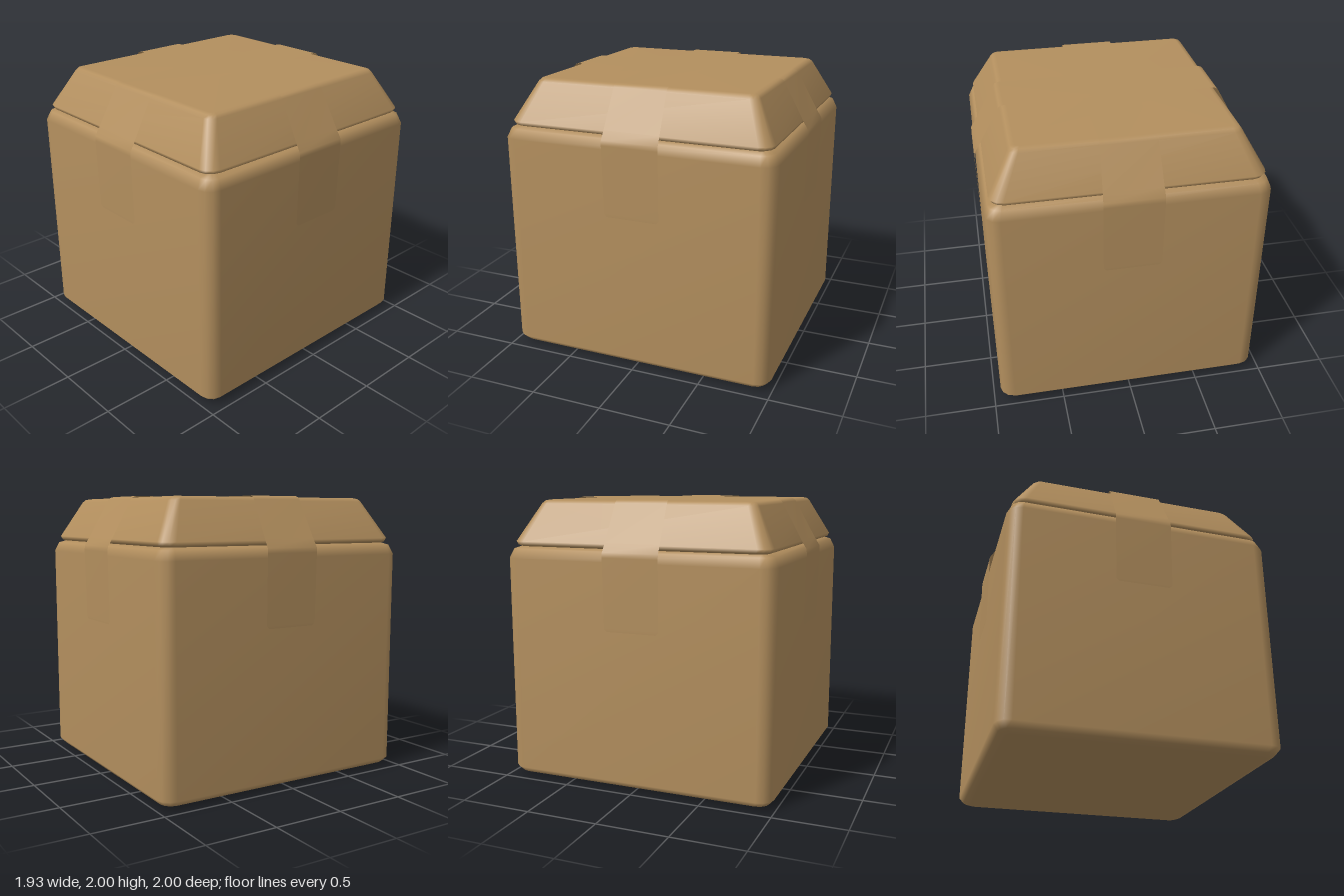
import * as THREE from 'three';

const cardboard = new THREE.MeshStandardMaterial({ color: 0xb38f5e });
cardboard.name = 'cardboard';
const tapeMaterial = new THREE.MeshStandardMaterial({ color: 0xb38f5e, side: THREE.DoubleSide });
tapeMaterial.name = 'tape';

function geometryFrom(positions, index) {
  const g = new THREE.BufferGeometry();
  g.setAttribute('position', new THREE.Float32BufferAttribute(positions, 3));
  g.setIndex(index);
  g.computeVertexNormals();
  return g;
}

// Stacks rounded rectangles; each level is [y, halfX, halfZ, cornerRadius].
function loft(levels) {
  const steps = 3, n = 4 * (steps + 1), positions = [], index = [];
  for (const [y, hx, hz, r] of levels) {
    for (let q = 0; q < 4; q++) {
      const sx = q === 0 || q === 3 ? 1 : -1, sz = q < 2 ? 1 : -1;
      for (let s = 0; s <= steps; s++) {
        const a = (q + s / steps) * Math.PI / 2;
        positions.push(sx * (hx - r) + r * Math.cos(a), y, sz * (hz - r) + r * Math.sin(a));
      }
    }
  }
  const last = levels.length - 1;
  const bottom = positions.length / 3, top = bottom + 1;
  positions.push(0, levels[0][0], 0, 0, levels[last][0], 0);
  for (let j = 0; j < n; j++) {
    const k = (j + 1) % n;
    for (let i = 0; i < last; i++) {
      const a = i * n + j, b = i * n + k, c = b + n, d = a + n;
      index.push(a, d, b, b, d, c);
    }
    index.push(bottom, j, k, top, last * n + k, last * n + j);
  }
  return geometryFrom(positions, index);
}

// Folded tape running along x; half profile points are [x, y, halfWidth].
function tape(half) {
  const path = [...half.map(([x, y, w]) => [-x, y, w]), ...half.slice().reverse()];
  const positions = [], index = [];
  path.forEach(([x, y, w], i) => {
    positions.push(x, y, w, x, y, -w);
    if (i) {
      const a = 2 * i - 2;
      index.push(a, a + 2, a + 1, a + 1, a + 2, a + 3);
    }
  });
  return geometryFrom(positions, index);
}

export function createModel() {
  const group = new THREE.Group();
  const add = (name, geometry, material) => {
    const mesh = new THREE.Mesh(geometry, material);
    mesh.name = name;
    group.add(mesh);
    return mesh;
  };

  // Box with softened edges
  add('boxBody', loft([
    [0, 0.86, 0.89, 0.04],
    [0.02, 0.915, 0.945, 0.08],
    [0.06, 0.95, 0.98, 0.1],
    [1.59, 0.95, 0.98, 0.1],
    [1.655, 0.92, 0.95, 0.08],
    [1.675, 0.86, 0.89, 0.04],
  ]), cardboard);

  // Sloped lid
  add('lid', loft([
    [1.67, 0.87, 0.9, 0.06],
    [1.68, 0.9, 0.93, 0.09],
    [1.705, 0.91, 0.94, 0.09],
    [1.965, 0.762, 0.8, 0.06],
    [1.985, 0.745, 0.78, 0.05],
    [1.992, 0.715, 0.75, 0.03],
  ]), cardboard);

  // Two crossing tapes folded down the four sides
  const profile = (d) => [
    [0.956 + d, 1.12, 0.18],
    [0.957 + d, 1.14, 0.2],
    [0.965 + d, 1.62, 0.203],
    [0.962 + d, 1.655, 0.203],
    [0.925 + d, 1.715, 0.2],
    [0.78 + d, 1.975, 0.19],
    [0.765 + d, 1.992, 0.19],
    [0.735 + d, 2, 0.19],
  ];
  add('sideTape', tape(profile(0)), tapeMaterial);
  add('frontBackTape', tape(profile(0.035)), tapeMaterial).rotation.y = Math.PI / 2;

  return group;
}
